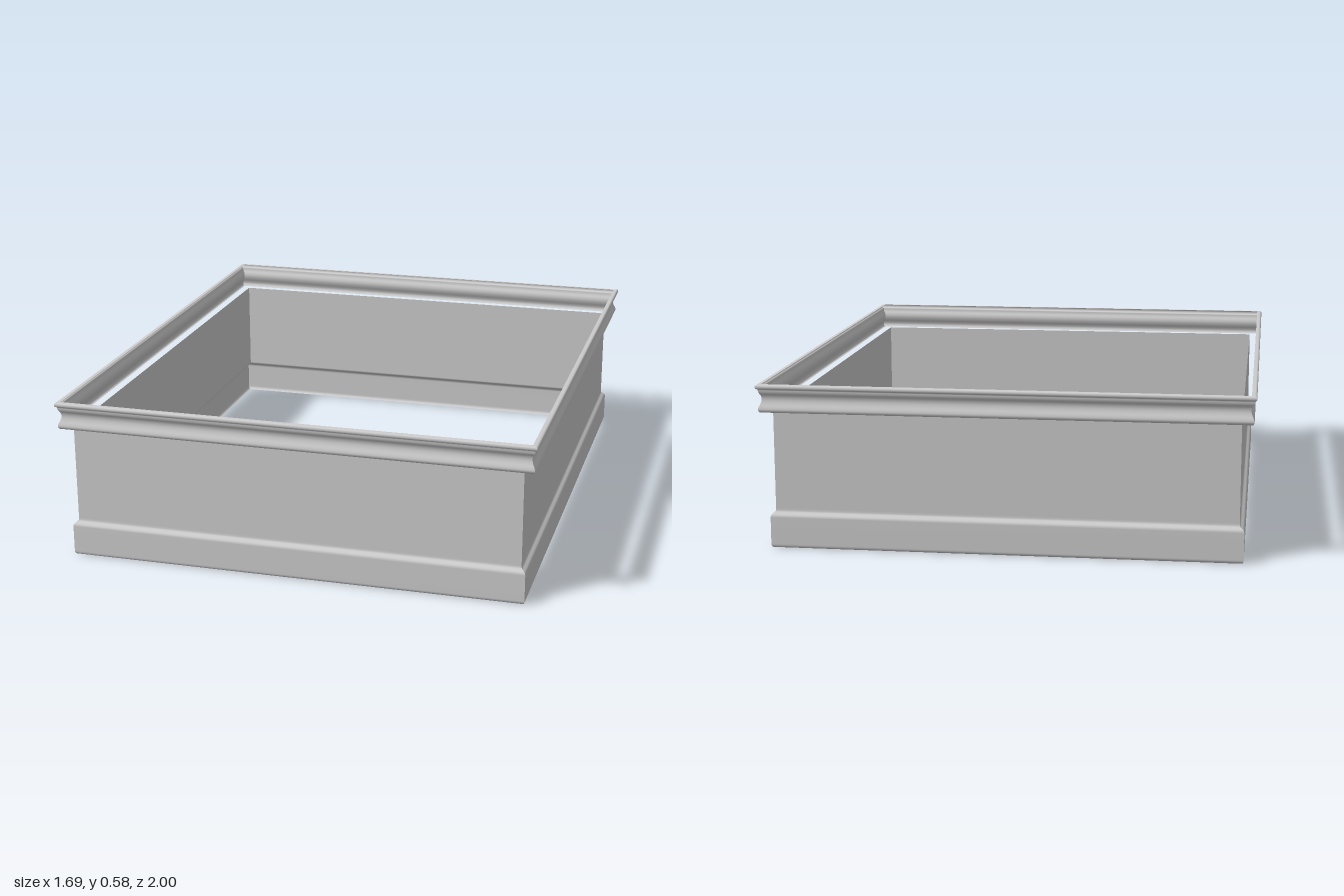
import * as THREE from 'three';

const HALF_W = 0.795, HALF_D = 0.952; // wall plane
const material = new THREE.MeshStandardMaterial({ color: 0xcccccc, side: THREE.DoubleSide });
const CORNERS = [[-1, 1], [1, 1], [1, -1], [-1, -1]];

// Sweeps a profile of [outward offset, height] round the rectangle with mitred corners
function mitredSheet(name, profile) {
  const positions = [], indices = [];
  for (let side = 0; side < 4; side++) {
    const start = positions.length / 3;
    const ends = [CORNERS[side], CORNERS[(side + 1) % 4]];
    profile.forEach(([d, y], row) => {
      for (const [sx, sz] of ends) positions.push(sx * (HALF_W + d), y, sz * (HALF_D + d));
      if (row === 0) return;
      const a = start + (row - 1) * 2;
      indices.push(a, a + 1, a + 3, a, a + 3, a + 2);
    });
  }
  const geometry = new THREE.BufferGeometry();
  geometry.setAttribute('position', new THREE.Float32BufferAttribute(positions, 3));
  geometry.setIndex(indices);
  geometry.computeVertexNormals();
  const mesh = new THREE.Mesh(geometry, material);
  mesh.name = name;
  return mesh;
}

// Smooths a few profile points into a curve
function smooth(points, divisions) {
  const curve = new THREE.SplineCurve(points.map(([d, y]) => new THREE.Vector2(d, y)));
  return curve.getPoints(divisions).map((p) => [p.x, p.y]);
}

export function createModel() {
  const model = new THREE.Group();
  model.name = 'mouldedFrame';

  // Flat wall, open at top and bottom
  model.add(mitredSheet('wall', [[0, 0.132], [0, 0.48]]));

  // Skirting: rounded foot, flat face and a small cove up to the wall
  model.add(mitredSheet('skirting', [
    ...smooth([[0.006, 0], [0.011, 0.002], [0.015, 0.007], [0.016, 0.014]], 6),
    [0.016, 0.06],
    ...smooth([[0.016, 0.108], [0.014, 0.116], [0.006, 0.123], [0.001, 0.128], [0, 0.136]], 10),
  ]));

  // Cornice: lower bead, hollow, upper flare and a thin top lip, standing clear of the wall
  model.add(mitredSheet('cornice', [
    ...smooth([[0.031, 0.479], [0.037, 0.481], [0.041, 0.489], [0.039, 0.499],
      [0.033, 0.512], [0.030, 0.525], [0.032, 0.537], [0.038, 0.548], [0.040, 0.556]], 24),
    ...smooth([[0.040, 0.560], [0.046, 0.563], [0.048, 0.569], [0.046, 0.575], [0.040, 0.577]], 8),
    [0.030, 0.577],
  ]));
  return model;
}
